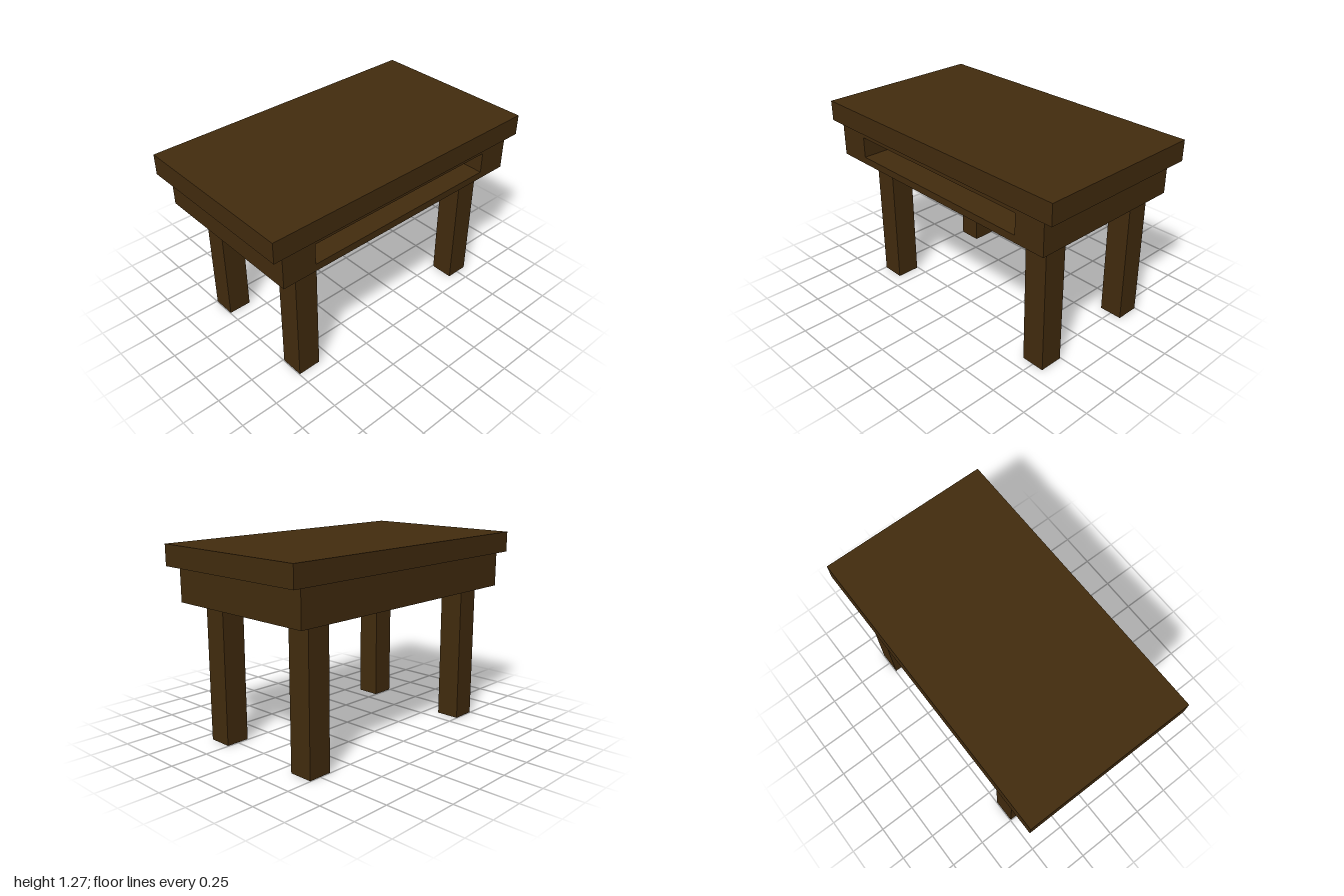
import * as THREE from 'three';

// Box given by its minimum and maximum corners
function boxBetween(name, min, max, material) {
  const size = max.map((v, i) => v - min[i]);
  const mesh = new THREE.Mesh(new THREE.BoxGeometry(...size), material);
  mesh.position.set(...max.map((v, i) => (v + min[i]) / 2));
  mesh.name = name;
  return mesh;
}

function rectangle(PathType, x0, y0, x1, y1) {
  const path = new PathType();
  path.moveTo(x0, y0);
  path.lineTo(x1, y0);
  path.lineTo(x1, y1);
  path.lineTo(x0, y1);
  path.closePath();
  return path;
}

export function createModel() {
  const table = new THREE.Group();
  table.name = 'table';
  const wood = new THREE.MeshStandardMaterial({ color: 0x432c0e, side: THREE.DoubleSide });
  wood.name = 'dark wood';

  // Thick overhanging top
  table.add(boxBetween('tableTop', [-1, 1.135, -0.575], [1, 1.272, 0.575], wood));

  // Apron with a wide drawer slot open to the front
  const backZ = -0.543, frontZ = 0.545, slotBackZ = -0.4;
  const outline = rectangle(THREE.Shape, -0.925, 0.902, 0.922, 1.135);
  outline.holes.push(rectangle(THREE.Path, -0.697, 0.95, 0.707, 1.09));
  const frame = new THREE.Mesh(
    new THREE.ExtrudeGeometry(outline, { depth: frontZ - slotBackZ, bevelEnabled: false }), wood);
  frame.position.z = slotBackZ;
  frame.name = 'apronWithDrawerSlot';
  table.add(frame);
  table.add(boxBetween('apronBack', [-0.925, 0.902, backZ], [0.922, 1.135, slotBackZ], wood));

  // Square legs; all but the front right one are hollow at the foot
  const legWidth = 0.159, legHeight = 0.902;
  for (const [xName, x] of [['Right', -0.667], ['Left', 0.748]]) {
    for (const [zName, z] of [['front', 0.336], ['back', -0.417]]) {
      const h = legWidth / 2;
      const leg = boxBetween(zName + xName + 'Leg', [x - h, 0, z - h], [x + h, legHeight, z + h], wood);
      if (zName !== 'front' || xName !== 'Right') {
        // Drop the bottom face (fourth side of the box)
        const g = leg.geometry;
        g.setIndex(Array.from(g.index.array).filter((_, i) => Math.floor(i / 6) !== 3));
        g.clearGroups();
      }
      table.add(leg);
    }
  }
  return table;
}
